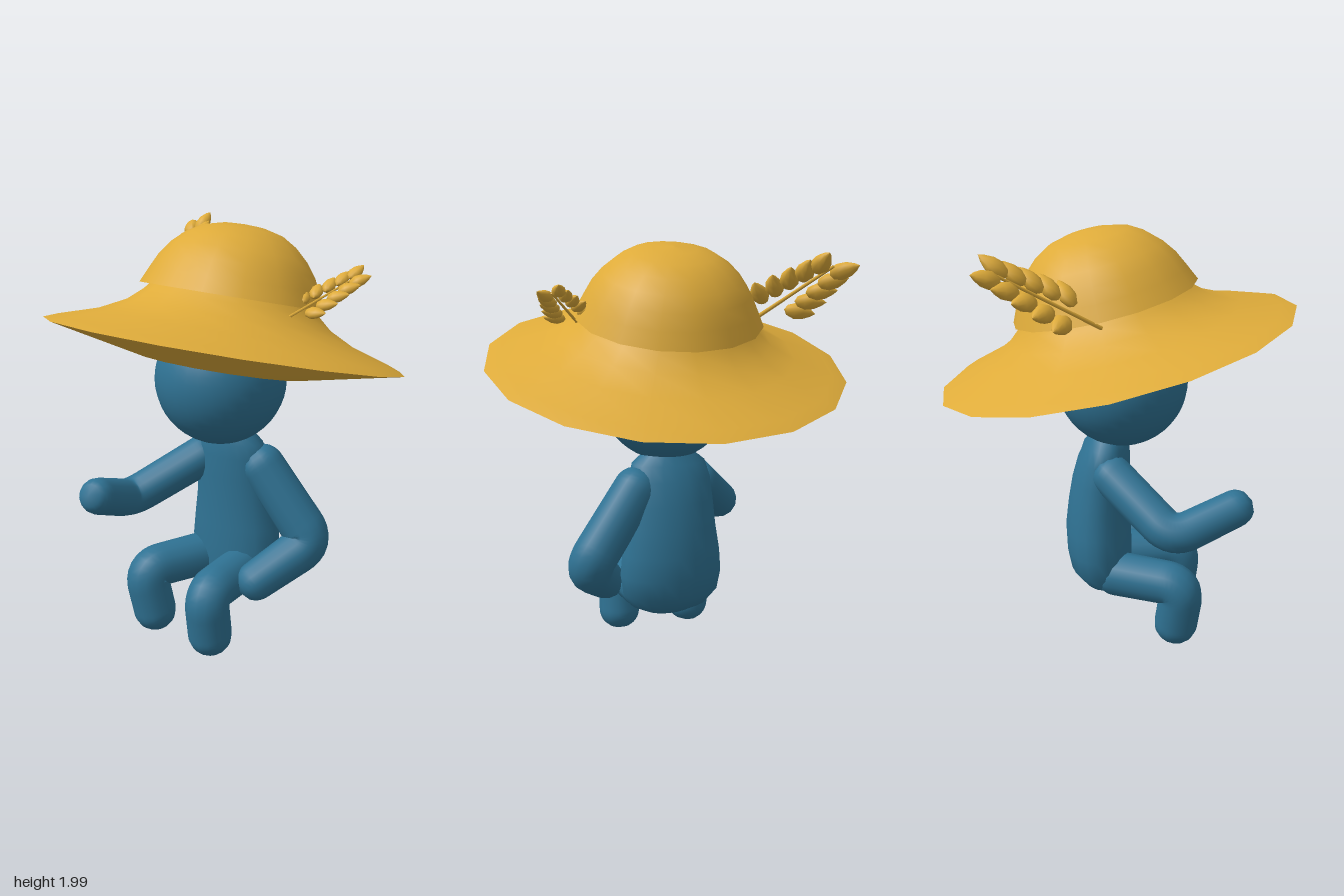
import * as THREE from 'three';
import { mergeVertices } from 'three/addons/utils/BufferGeometryUtils.js';

const V = (x, y, z) => new THREE.Vector3(x, y, z);
const P = (list) => list.map(([x, y]) => new THREE.Vector2(x, y));

// weld seams and recompute smooth normals
function smooth(geo) {
  geo.deleteAttribute('uv');
  geo.deleteAttribute('normal');
  const g = mergeVertices(geo, 1e-4);
  g.computeVertexNormals();
  return g;
}

// bent limb a -> b -> c with a soft joint, changing radius and round ends
function limbGeometry(a, b, c, radii) {
  const p = b.clone().add(a.clone().sub(b).setLength(0.09));
  const q = b.clone().add(c.clone().sub(b).setLength(0.09));
  const path = new THREE.CurvePath();
  path.add(new THREE.LineCurve3(a, p));
  path.add(new THREE.QuadraticBezierCurve3(p, b, q));
  path.add(new THREE.LineCurve3(q, c));
  const n = 48, sides = 14, length = path.getLength();
  const geo = new THREE.TubeGeometry(path, n, 1, sides, false);
  const pos = geo.attributes.position, v = V(0, 0, 0);
  for (let i = 0; i <= n; i++) {
    const t = i / n, centre = path.getPointAt(t);
    let r = t < 0.5
      ? THREE.MathUtils.lerp(radii[0], radii[1], t * 2)
      : THREE.MathUtils.lerp(radii[1], radii[2], t * 2 - 1);
    const d = Math.min(1, (Math.min(t, 1 - t) * length) / r);
    r *= Math.sqrt(Math.max(0, 1 - (1 - d) ** 2));
    for (let j = 0; j <= sides; j++) {
      const k = i * (sides + 1) + j;
      v.fromBufferAttribute(pos, k).sub(centre).multiplyScalar(r).add(centre);
      pos.setXYZ(k, v.x, v.y, v.z);
    }
  }
  return smooth(geo);
}

// torso rings: y, z centre, half width, half depth
function torsoGeometry() {
  const rings = [
    [0.22, -0.02, 0.001, 0.001], [0.222, -0.02, 0.11, 0.07], [0.27, -0.05, 0.19, 0.12],
    [0.34, -0.075, 0.235, 0.15], [0.44, -0.085, 0.25, 0.16], [0.55, -0.09, 0.24, 0.16],
    [0.68, -0.085, 0.22, 0.15], [0.8, -0.075, 0.21, 0.14], [0.91, -0.06, 0.2, 0.125],
    [0.98, -0.045, 0.18, 0.105], [1.02, -0.04, 0.13, 0.09], [1.08, -0.03, 0.09, 0.07]];
  const geo = new THREE.LatheGeometry(P(rings.map(([y, , w]) => [w, y])), 20);
  const pos = geo.attributes.position;
  for (let i = 0; i < pos.count; i++) {
    const [, zc, w, d] = rings[i % rings.length];
    pos.setZ(i, (pos.getZ(i) * d) / w + zc);
  }
  return smooth(geo);
}

export function createModel() {
  const blue = new THREE.MeshStandardMaterial({ color: 0x2f7293 });
  blue.name = 'body blue';
  const gold = new THREE.MeshStandardMaterial({ color: 0xdeab3a });
  gold.name = 'straw gold';

  const model = new THREE.Group();
  model.name = 'seatedFigure';
  const add = (name, geo, mat, parent = model) => {
    const m = new THREE.Mesh(geo, mat);
    m.name = name;
    parent.add(m);
    return m;
  };

  // body
  add('head', new THREE.SphereGeometry(0.31, 32, 24), blue).position.set(-0.005, 1.29, 0.025);
  add('torso', torsoGeometry(), blue);
  const limbs = {
    rightArm: [V(-0.1, 0.91, -0.08), V(-0.385, 0.655, 0.27), V(-0.285, 0.805, 0.63), [0.1, 0.095, 0.085]],
    leftArm: [V(0.11, 0.95, -0.06), V(0.425, 0.52, -0.15), V(0.24, 0.31, 0.17), [0.105, 0.11, 0.09]],
    rightLeg: [V(-0.1, 0.34, -0.1), V(-0.24, 0.335, 0.325), V(-0.19, 0.01, 0.285), [0.11, 0.105, 0.105]],
    leftLeg: [V(0.1, 0.34, -0.1), V(0.165, 0.335, 0.325), V(0.165, 0.01, 0.285), [0.11, 0.105, 0.105]],
  };
  for (const [name, args] of Object.entries(limbs)) add(name, limbGeometry(...args), blue);

  // hat, tipped back
  const hat = new THREE.Group();
  hat.name = 'hat';
  hat.position.set(0, 1.445, 0);
  hat.rotation.x = -0.243;
  model.add(hat);
  add('brimUnderside', new THREE.LatheGeometry(P([[0, -0.1], [0.39, -0.1], [0.845, 0]]), 16), gold, hat);
  add('brimTop', new THREE.LatheGeometry(P([[0.845, 0], [0.78, 0.025], [0.6, 0.08], [0.48, 0.14],
    [0.41, 0.2], [0.37, 0.25]]), 16), gold, hat);
  add('crown', new THREE.LatheGeometry(P([[0.435, 0.226], [0.4, 0.3], [0.365, 0.37], [0.32, 0.43],
    [0.26, 0.485], [0.19, 0.527], [0.1, 0.55], [0, 0.558]]), 16), gold, hat);
  add('crownHem', new THREE.LatheGeometry(P([[0.36, 0.23], [0.435, 0.226]]), 16), gold, hat);

  // wheat sprigs: a stem along y with paired grains to both sides in x
  const grain = new THREE.LatheGeometry(P([[0, -0.12], [0.05, -0.095], [0.08, -0.03], [0.07, 0.04],
    [0.035, 0.105], [0, 0.145]]), 10);
  const stem = new THREE.CylinderGeometry(0.012, 0.018, 1, 6);
  function sprig(name, base, tip, side, pairs) {
    const g = new THREE.Group();
    g.name = name;
    const y = tip.clone().sub(base), length = y.length();
    y.normalize();
    const x = side.clone().addScaledVector(y, -side.dot(y)).normalize();
    g.quaternion.setFromRotationMatrix(new THREE.Matrix4().makeBasis(x, y, x.clone().cross(y)));
    g.position.copy(base);
    g.scale.setScalar(length);
    add('stem', stem, gold, g).position.y = 0.45;
    for (let i = 0; i < pairs; i++) {
      const t = i / (pairs - 1);
      for (const s of [-1, 1]) {
        const m = add('grain', grain, gold, g);
        m.position.set(s * (0.19 - 0.1 * t), 0.29 + 0.64 * t + (s < 0 ? 0.04 : -0.02), 0);
        m.rotation.z = -s * (1.0 - 0.7 * t);
        m.scale.z = 0.75;
      }
    }
    model.add(g);
  }
  sprig('rightSprig', V(-0.42, 1.65, -0.07), V(-0.62, 1.92, -0.5), V(0.9, 0.4, 0.03), 5);
  sprig('leftSprig', V(0.4, 1.635, 0.06), V(0.58, 1.81, -0.24), V(0.85, -0.2, 0.45), 5);
  return model;
}
